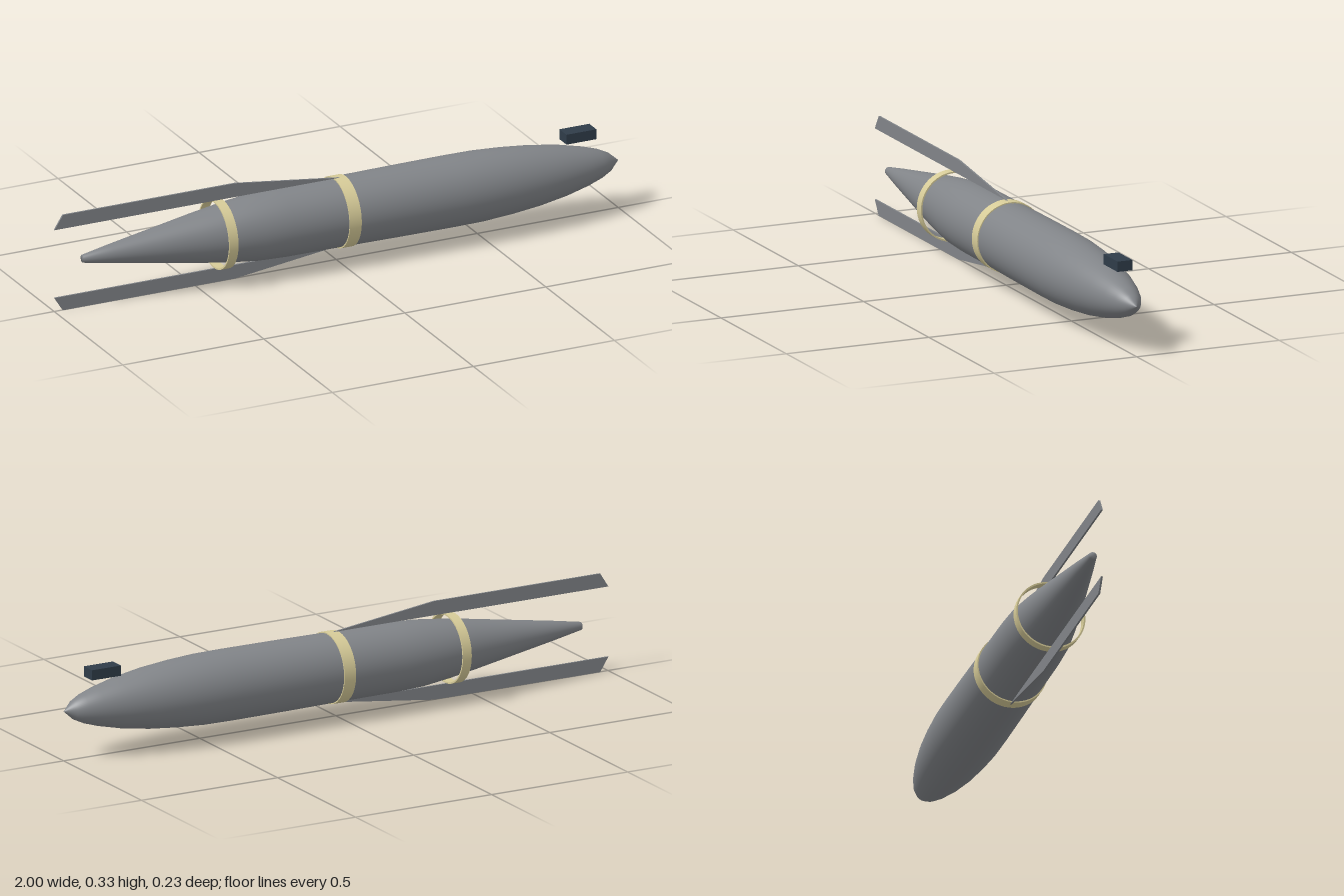
import * as THREE from 'three';

const AXIS_Y = 0.164;

// Turns a profile of [x, radius] points around the long axis
function turned(points, material, name) {
  const profile = points.map(([x, r]) => new THREE.Vector2(r, x));
  const geometry = new THREE.LatheGeometry(profile, 48);
  geometry.rotateZ(-Math.PI / 2);
  const mesh = new THREE.Mesh(geometry, material);
  mesh.position.y = AXIS_Y;
  mesh.name = name;
  return mesh;
}

export function createModel() {
  const group = new THREE.Group();
  group.name = 'externalTank';

  const grey = new THREE.MeshStandardMaterial({ color: 0x818488 });
  grey.name = 'bodyGrey';
  const cream = new THREE.MeshStandardMaterial({ color: 0xd6cb98 });
  cream.name = 'bandCream';
  const slate = new THREE.MeshStandardMaterial({ color: 0x2f3c49 });
  slate.name = 'darkSlate';

  // Streamlined body: tapered tail, near-cylindrical middle, rounded nose
  group.add(turned([
    [-0.9, 0], [-0.9, 0.013], [-0.8, 0.031], [-0.65, 0.056], [-0.5, 0.081],
    [-0.4, 0.096], [-0.3, 0.108], [-0.2, 0.112], [0, 0.113], [0.2, 0.115],
    [0.4, 0.116], [0.5, 0.115], [0.6, 0.109], [0.7, 0.099], [0.8, 0.083],
    [0.88, 0.064], [0.93, 0.048], [0.965, 0.031], [1, 0],
  ], grey, 'body'));

  // Bands: thin rings with a square cross-section
  for (const [x, width, outer, name] of [
    [0.013, 0.042, 0.117, 'middleBand'],
    [-0.418, 0.032, 0.115, 'rearBand'],
  ]) {
    const a = x - width / 2, b = x + width / 2, inner = outer - 0.005;
    // Doubled corners keep the edges crisp
    group.add(turned([
      [a, inner], [a, outer], [a, outer], [b, outer], [b, outer],
      [b, inner], [b, inner], [a, inner],
    ], cream, name));
  }

  // Upper and lower tail fins: thin plates running past the tail
  for (const side of [1, -1]) {
    const shape = new THREE.Shape([
      [0.04, 0.113], [-0.36, 0.164], [-0.97, 0.164], [-1, 0.117], [0, 0.117],
    ].map(([x, y]) => new THREE.Vector2(x, y * side)));
    const geometry = new THREE.ExtrudeGeometry(shape, { depth: 0.006, bevelEnabled: false });
    const fin = new THREE.Mesh(geometry, grey);
    fin.position.set(0, AXIS_Y, -0.003);
    fin.name = side > 0 ? 'upperFin' : 'lowerFin';
    group.add(fin);
  }

  // Small block above the nose
  const block = new THREE.Mesh(new THREE.BoxGeometry(0.106, 0.034, 0.052), slate);
  block.position.set(0.857, 0.278, 0);
  block.name = 'noseBlock';
  group.add(block);

  return group;
}
